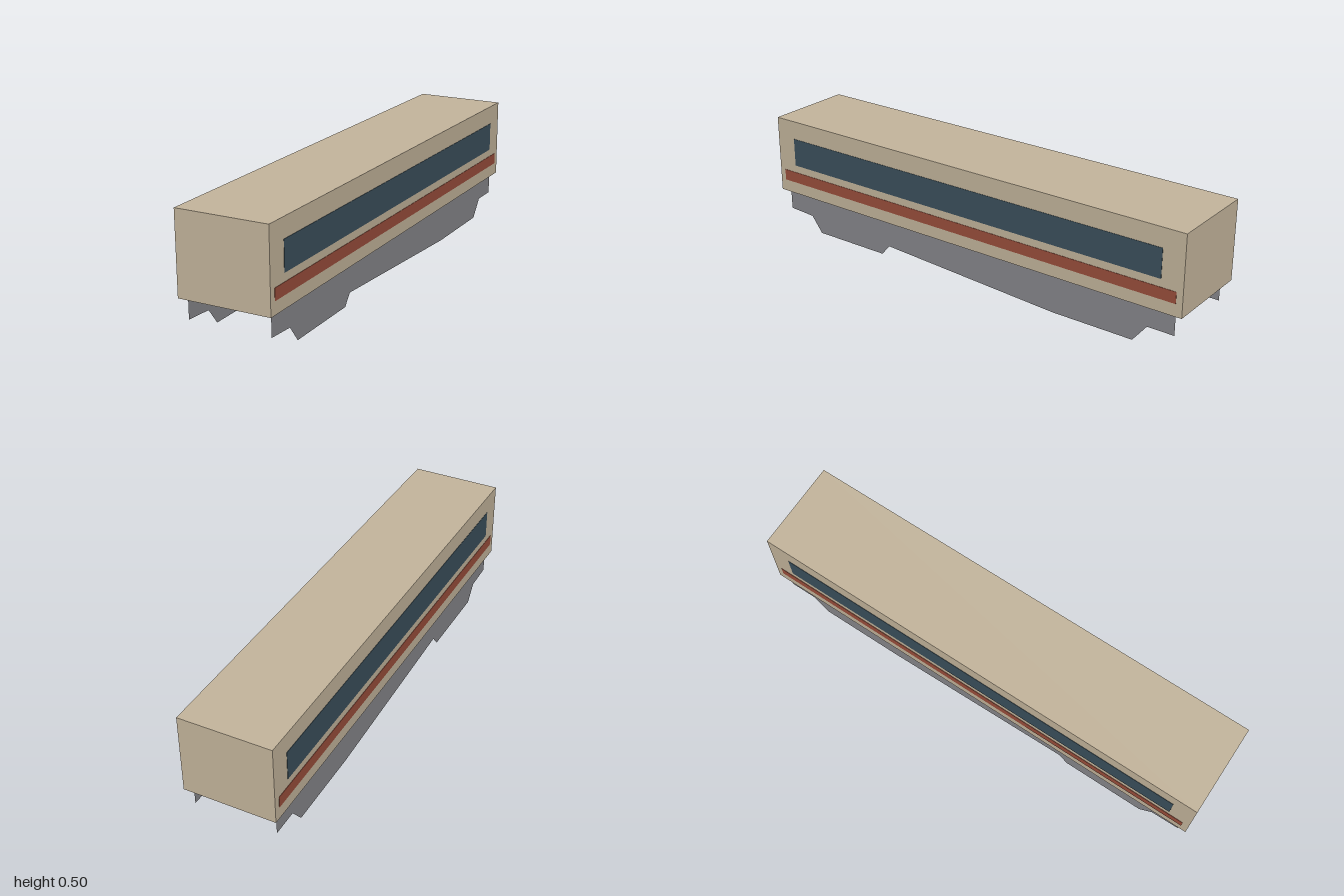
import * as THREE from 'three';

export function createModel() {
  const group = new THREE.Group();
  const mat = (name, color) => {
    const m = new THREE.MeshStandardMaterial({ color });
    m.name = name;
    return m;
  };
  const beige = mat('beige body', 0xc4b59c);
  const blue = mat('dark blue glass', 0x3b505c);
  const red = mat('red stripe', 0x9a4e3b);
  const grey = mat('grey underframe', 0x87878b);
  grey.side = THREE.DoubleSide;

  const add = (name, geometry, material, x, y, z) => {
    const mesh = new THREE.Mesh(geometry, material);
    mesh.name = name;
    mesh.position.set(x, y, z);
    group.add(mesh);
    return mesh;
  };

  // Carriage body
  const halfWidth = 0.192;
  add('body', new THREE.BoxGeometry(2 * halfWidth, 0.335, 2), beige, 0, 0.3325, 0);

  // Skirt outline as [z, y], from the front end to the back end
  const outline = [
    [0.967, 0.166], [0.967, 0.075], [0.845, 0.068], [0.793, 0], [0.44, 0],
    [0.402, 0.046], [-0.43, 0], [-0.79, 0], [-0.85, 0.075], [-0.965, 0.075], [-0.965, 0.166],
  ];
  const skirtShape = new THREE.Shape(outline.map(([z, y]) => new THREE.Vector2(-z, y)));
  const skirt = new THREE.ShapeGeometry(skirtShape).rotateY(Math.PI / 2);

  // Window band, stripe and underframe skirt on both sides
  for (const [side, s] of [['left', 1], ['right', -1]]) {
    const x = s * halfWidth;
    add(side + 'WindowBand', new THREE.BoxGeometry(0.003, 0.122, 1.816), blue, x, 0.359, 0);
    add(side + 'Stripe', new THREE.BoxGeometry(0.003, 0.048, 1.946), red, x, 0.241, 0);
    add(side + 'Skirt', skirt, grey, s * 0.172, 0, 0);
  }
  return group;
}
